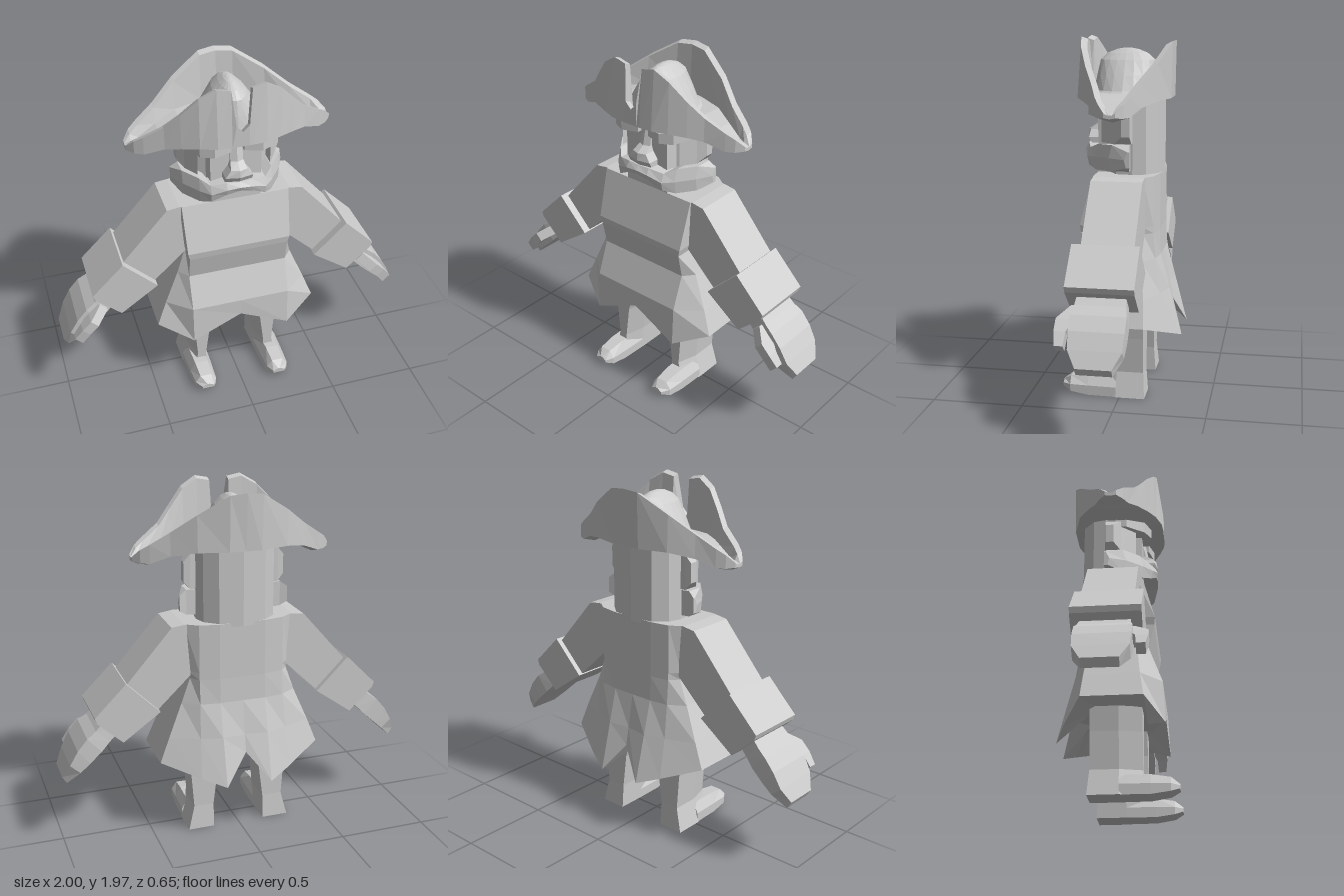
import * as THREE from 'three';

const material = new THREE.MeshStandardMaterial({ color: 0xcccccc, flatShading: true });

// Closed solid through rings of equal point count; faces are turned outwards by signed volume.
function loft(name, rings) {
  const tris = [], n = rings[0].length;
  for (let i = 0; i < rings.length - 1; i++) {
    for (let j = 0; j < n; j++) {
      const k = (j + 1) % n, a = rings[i], b = rings[i + 1];
      tris.push([a[j], a[k], b[k]], [a[j], b[k], b[j]]);
    }
  }
  const cap = (ring, flip) => {
    const c = [0, 1, 2].map(q => ring.reduce((s, p) => s + p[q], 0) / n);
    ring.forEach((p, j) => {
      const r = ring[(j + 1) % n];
      tris.push(flip ? [c, r, p] : [c, p, r]);
    });
  };
  cap(rings[0], true);
  cap(rings[rings.length - 1], false);
  const vol = tris.reduce((s, [a, b, c]) => s
    + a[0] * (b[1] * c[2] - b[2] * c[1])
    + a[1] * (b[2] * c[0] - b[0] * c[2])
    + a[2] * (b[0] * c[1] - b[1] * c[0]), 0);
  const pos = tris.flatMap(t => (vol < 0 ? [t[0], t[2], t[1]] : t).flat());
  const g = new THREE.BufferGeometry();
  g.setAttribute('position', new THREE.Float32BufferAttribute(pos, 3));
  g.computeVertexNormals();
  const mesh = new THREE.Mesh(g, material);
  mesh.name = name;
  return mesh;
}

// The same solid on both sides of the body
const pair = (name, rings) => [1, -1].map(s =>
  loft((s > 0 ? 'left' : 'right') + name, rings.map(r => r.map(([x, y, z]) => [s * x, y, z]))));

// Closes a half outline (first and last points on x = 0) into a full ring
const whole = half => [...half, ...half.slice(1, -1).reverse().map(([x, y, z]) => [-x, y, z])];

// Outline in the front plane given as [x, y], at depth z
const face = (outline, z) => outline.map(([x, y]) => [x, y, z]);

function coat() {
  const level = (y, pts) => whole(pts.map(([x, z]) => [x, y, z]));
  const hem = [[0, 0.5, 0.25], [0.28, 0.375, 0.26], [0.465, 0.46, 0.16], [0.465, 0.46, -0.16],
    [0.26, 0.38, -0.27], [0.13, 0.33, -0.325], [0, 0.5, -0.26]];
  return loft('coat', [
    level(1.24, [[0, 0.14], [0.3, 0.14], [0.31, 0.1], [0.31, -0.13], [0.24, -0.18], [0.13, -0.2], [0, -0.2]]),
    level(0.97, [[0, 0.215], [0.29, 0.215], [0.29, 0.1], [0.29, -0.13], [0.24, -0.18], [0.13, -0.2], [0, -0.2]]),
    level(0.93, [[0, 0.21], [0.28, 0.21], [0.28, 0.1], [0.28, -0.13], [0.24, -0.18], [0.13, -0.2], [0, -0.2]]),
    level(0.79, [[0, 0.18], [0.28, 0.18], [0.33, 0.12], [0.33, -0.13], [0.24, -0.19], [0.13, -0.205], [0, -0.205]]),
    level(0.6, [[0, 0.25], [0.28, 0.25], [0.41, 0.14], [0.41, -0.15], [0.25, -0.22], [0.13, -0.255], [0, -0.24]]),
    whole(hem),
    whole(hem.map(([x, , z]) => [x * 0.6, 0.47, z * 0.6])),
  ]);
}

// One turned-up half of the hat brim; columns: x, centre y, bottom y, top y, bottom z, top z
function brim(name, side, columns) {
  const section = ([x, yc, yb, yt, zo, zt]) => {
    const floor = Math.min(yb + 0.03, yt - 0.01), zi = Math.max(zt - 0.035, 0.01);
    return [[0, yc], [zo, yb], [zt, yt], [zi, yt - 0.012], [Math.max(zi - 0.02, 0.005), floor], [0, floor]]
      .map(([z, y]) => [x, y, side * z]);
  };
  const right = columns.slice(1).reverse().map(([x, ...r]) => [-x, ...r]);
  return loft(name, [...right, ...columns].map(section));
}

function hat() {
  const g = new THREE.Group();
  g.name = 'hat';
  const tip = [[0.375, 1.595, 1.615, 1.74, 0.135, 0.13], [0.475, 1.55, 1.575, 1.675, 0.09, 0.09],
    [0.52, 1.56, 1.575, 1.645, 0.065, 0.065], [0.555, 1.575, 1.58, 1.605, 0.03, 0.03]];
  const front = brim('frontBrim', 1, [
    [0, 1.64, 1.64, 1.725, 0.26, 0.26], [0.035, 1.64, 1.64, 1.76, 0.26, 0.26],
    [0.055, 1.64, 1.64, 1.95, 0.26, 0.235], [0.13, 1.64, 1.64, 1.965, 0.255, 0.23],
    [0.215, 1.635, 1.64, 1.915, 0.225, 0.215], [0.3, 1.615, 1.63, 1.82, 0.18, 0.175], ...tip]);
  const back = brim('backBrim', -1, [
    [0, 1.64, 1.64, 1.945, 0.25, 0.265], [0.09, 1.64, 1.64, 1.935, 0.25, 0.255],
    [0.25, 1.63, 1.64, 1.835, 0.205, 0.2], ...tip]);
  // Crown: elliptical rings drawn in to a ridge running front to back; y, x radius, z radius
  const crown = loft('crown', [[1.64, 0.24, 0.25], [1.68, 0.19, 0.185], [1.76, 0.14, 0.17],
    [1.84, 0.085, 0.15], [1.875, 0.05, 0.11], [1.895, 0.025, 0.06], [1.902, 0.008, 0.02]]
    .map(([y, rx, rz]) => Array.from({ length: 20 }, (_, i) => {
      const a = i * Math.PI / 10;
      return [rx * Math.cos(a), y, rz * Math.sin(a)];
    })));
  g.add(front, back, crown);
  return g;
}

function head() {
  const g = new THREE.Group();
  g.name = 'head';
  const skull = [[0, 0.14], [0.14, 0.14], [0.145, 0.07], [0.21, 0.03], [0.22, -0.06], [0.2, -0.13], [0.13, -0.19], [0, -0.21]];
  g.add(loft('skull', [1.22, 1.65].map(y => whole(skull.map(([x, z]) => [x, y, z])))));
  // Ears swept back from the face
  g.add(...pair('Ear', [
    [[0.2, 1.6, 0.11], [0.2, 1.41, 0.11], [0.2, 1.41, -0.06], [0.2, 1.6, -0.06]],
    [[0.25, 1.6, 0.03], [0.25, 1.41, 0.03], [0.25, 1.41, -0.06], [0.25, 1.6, -0.06]],
    [[0.285, 1.56, -0.01], [0.285, 1.45, -0.01], [0.285, 1.45, -0.055], [0.285, 1.56, -0.055]]]));
  // Brows wrap round the forehead
  g.add(...pair('Brow', [[0.035, 1.6, 1.555, 0.17], [0.13, 1.605, 1.55, 0.195], [0.2, 1.615, 1.55, 0.16], [0.25, 1.61, 1.565, 0.06]]
    .map(([x, t, b, z]) => [[x, t, z], [x, b, z], [x, b, z - 0.1], [x, t, z - 0.1]])));
  // Nose: narrow bridge widening into a blunt tip
  g.add(loft('nose', [[1.58, 0.035, 0.15], [1.49, 0.035, 0.17], [1.46, 0.045, 0.215], [1.42, 0.075, 0.22], [1.38, 0.075, 0.2]]
    .map(([y, w, z]) => [[-w, y, 0.1], [w, y, 0.1], [w, y, z - 0.015], [0, y, z], [-w, y, z - 0.015]])));
  // Moustache: arched in the middle, drooping and swept back at the ends; x, top, bottom, z
  const half = [[0, 1.39, 1.34, 0.23], [0.07, 1.39, 1.325, 0.225], [0.15, 1.375, 1.28, 0.2],
    [0.2, 1.4, 1.26, 0.15], [0.27, 1.405, 1.265, 0.06], [0.31, 1.375, 1.29, -0.03]];
  const all = [...half.slice(1).reverse().map(([x, ...r]) => [-x, ...r]), ...half];
  g.add(loft('moustache', all.map(([x, t, b, z]) => {
    const m = (t + b) / 2, back = Math.min(z - 0.03, Math.abs(x) < 0.18 ? 0.1 : -0.05);
    return [[x, t, back], [x, t, z - 0.02], [x, m, z], [x, b, z - 0.01], [x, b, back]];
  })));
  return g;
}

function arms() {
  const g = new THREE.Group();
  g.name = 'arms';
  const sleeve = [[0.26, 1.24], [0.31, 1.24], [0.38, 1.23], [0.66, 0.91], [0.49, 0.75], [0.28, 0.95]];
  const cuff = [[0.645, 0.955], [0.82, 0.78], [0.81, 0.75], [0.67, 0.62], [0.46, 0.77]];
  g.add(...pair('Sleeve', [face(sleeve, 0.135), face(sleeve, -0.14)]));
  g.add(...pair('Cuff', [face(cuff, 0.18), face(cuff, -0.17)]));
  // Mitten hand: cross-sections from wrist to fingertips; outer xy, inner xy, half depth
  g.add(...pair('Hand', [
    [0.74, 0.76, 0.67, 0.68, 0.12], [0.81, 0.69, 0.735, 0.62, 0.13], [0.86, 0.655, 0.785, 0.57, 0.14],
    [0.915, 0.59, 0.85, 0.51, 0.14], [0.96, 0.51, 0.905, 0.46, 0.135], [1.0, 0.43, 0.975, 0.39, 0.09]]
    .map(([ox, oy, ix, iy, d]) => [[ox, oy, d], [ix, iy, d], [ix, iy, -d], [ox, oy, -d]])));
  g.add(...pair('Thumb', [
    [0.765, 0.66, 0.1, 0.15], [0.83, 0.61, 0.12, 0.215], [0.88, 0.56, 0.155, 0.215], [0.925, 0.5, 0.16, 0.205]]
    .map(([x, y, z0, z1]) => [[x + 0.02, y + 0.02, z0], [x + 0.02, y + 0.02, z1], [x - 0.02, y - 0.02, z1], [x - 0.02, y - 0.02, z0]])));
  return g;
}

function legs() {
  const g = new THREE.Group();
  g.name = 'legs';
  // Levels: y, inner x, outer x, front z, back z; the front is bevelled
  g.add(...pair('Leg', [[0.5, 0.08, 0.3, 0.14, -0.13], [0.34, 0.125, 0.28, 0.14, -0.13],
    [0.14, 0.15, 0.265, 0.14, -0.13], [0, 0.15, 0.3, 0.14, -0.14]]
    .map(([y, a, b, f, k]) => [[a, y, k], [b, y, k], [b, y, 0.02], [b - 0.035, y, f], [a + 0.03, y, f], [a, y, 0.02]])));
  // Boot toe; z, bottom, top, inner x, outer x
  g.add(...pair('Boot', [[0.02, 0, 0.11, 0.15, 0.295], [0.18, 0, 0.11, 0.155, 0.29],
    [0.28, 0.015, 0.095, 0.16, 0.285], [0.325, 0.035, 0.065, 0.185, 0.255]]
    .map(([z, b, t, x0, x1]) => [[x0, b, z], [x1, b, z], [x1, (b + t) / 2, z], [x1 - 0.03, t, z], [x0 + 0.03, t, z], [x0, (b + t) / 2, z]])));
  return g;
}

export function createModel() {
  const model = new THREE.Group();
  model.name = 'hattedFigure';
  model.add(coat(), hat(), head(), arms(), legs());
  return model;
}
